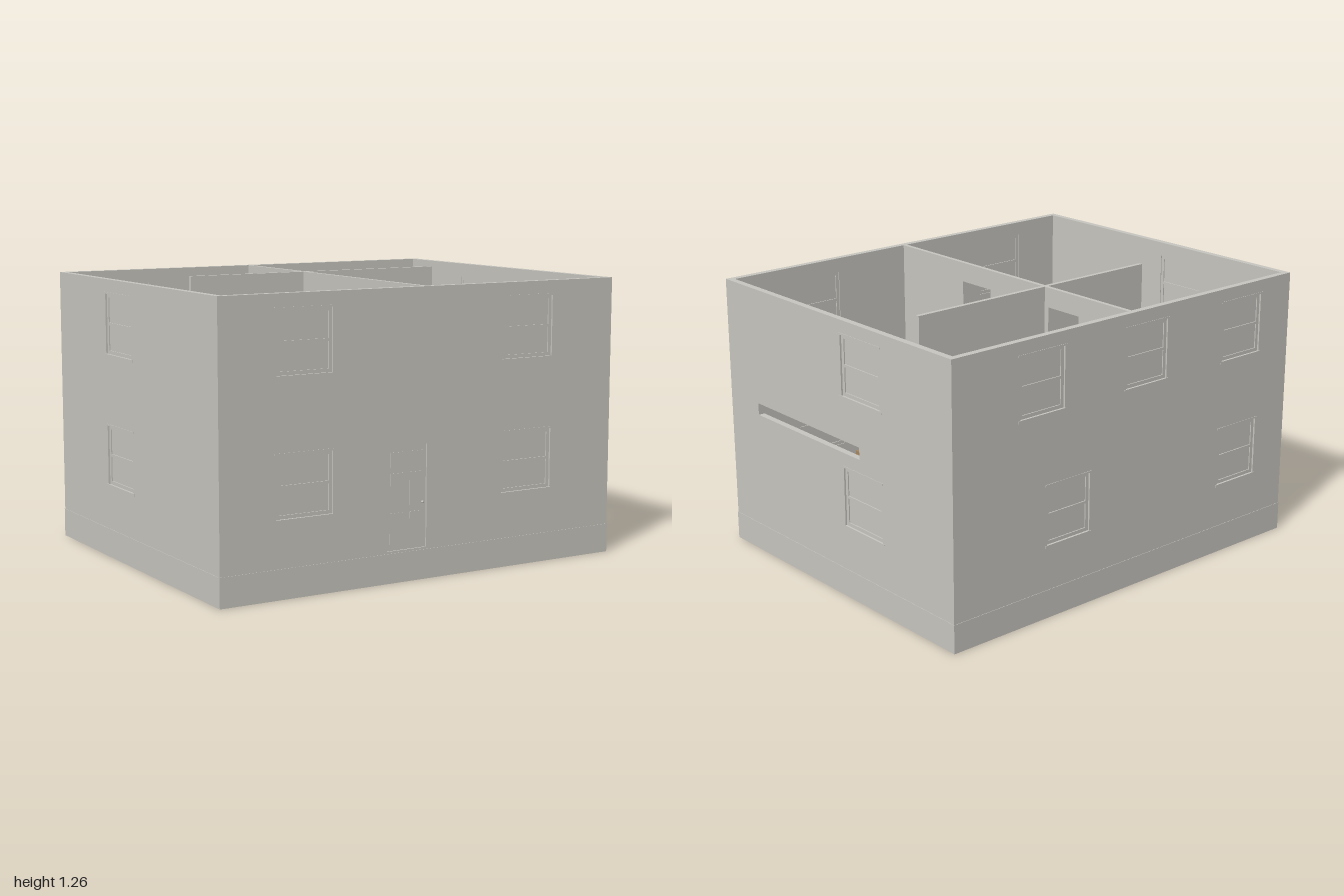
import * as THREE from 'three';

const plaster = new THREE.MeshStandardMaterial({ color: 0xc8c6bf });
plaster.name = 'pale grey plaster';
const wood = new THREE.MeshStandardMaterial({ color: 0xa88760 });
wood.name = 'warm brown wood';

const THICK = 0.03;
const BASE = 0.13, CEIL = 0.67, FLOOR = 0.725, TOP = 1.26;

// Box given by its limits on each axis
function box(parent, name, mat, [x0, x1], [y0, y1], [z0, z1]) {
  const mesh = new THREE.Mesh(new THREE.BoxGeometry(x1 - x0, y1 - y0, z1 - z0), mat);
  mesh.position.set((x0 + x1) / 2, (y0 + y1) / 2, (z0 + z1) / 2);
  mesh.name = name;
  parent.add(mesh);
  return mesh;
}

// Upright wall with rectangular openings; its outer face lies on local z = 0
function wall(parent, name, [u0, u1], [y0, y1], openings, thick) {
  const rect = (P, a, b, c, d) => new P([
    new THREE.Vector2(a, c), new THREE.Vector2(b, c), new THREE.Vector2(b, d), new THREE.Vector2(a, d)]);
  const shape = rect(THREE.Shape, u0, u1, y0, y1);
  for (const o of openings) shape.holes.push(rect(THREE.Path, o.u0, o.u1, o.y0, o.y1));
  const geo = new THREE.ExtrudeGeometry(shape, { depth: thick, bevelEnabled: false });
  geo.translate(0, 0, -thick);
  const mesh = new THREE.Mesh(geo, plaster);
  mesh.name = name;
  parent.add(mesh);
}

// Sash window: outer trim, recessed frame, two panes and a meeting rail
function sashWindow(parent, o) {
  const g = new THREE.Group();
  g.name = 'window';
  const f = 0.016, mid = (o.y0 + o.y1) / 2;
  box(g, 'windowPane', plaster, [o.u0, o.u1], [o.y0, o.y1], [-0.021, -0.013]);
  for (const [a, b] of [[o.u0, o.u0 + f], [o.u1 - f, o.u1]])
    box(g, 'windowStile', plaster, [a, b], [o.y0, o.y1], [-0.026, -0.008]);
  for (const [a, b] of [[o.y0, o.y0 + f], [mid - 0.006, mid + 0.006], [o.y1 - f, o.y1]])
    box(g, 'windowRail', plaster, [o.u0 + f, o.u1 - f], [a, b], [-0.026, -0.008]);
  box(g, 'windowSill', plaster, [o.u0 - 0.01, o.u1 + 0.01], [o.y0 - 0.012, o.y0], [-0.012, 0.002]);
  box(g, 'windowHead', plaster, [o.u0 - 0.01, o.u1 + 0.01], [o.y1, o.y1 + 0.008], [-0.012, 0.002]);
  parent.add(g);
}

// Panelled door leaf along +x from its hinge, standing on y = 0
function doorLeaf(name, width, height) {
  const g = new THREE.Group();
  g.name = name;
  box(g, 'doorSlab', plaster, [0, width], [0, height], [-0.005, 0.005]);
  const w = width / 2;
  for (const side of [1, -1]) {
    for (let c = 0; c < 2; c++)
      for (const [a, b] of [[0.06, 0.36], [0.42, 0.74], [0.8, 0.94]])
        box(g, 'doorPanel', plaster, [w * (c + 0.18), w * (c + 0.82)], [a * height, b * height],
          side > 0 ? [0.005, 0.007] : [-0.007, -0.005]);
    const knob = new THREE.Mesh(new THREE.SphereGeometry(0.006, 12, 8), plaster);
    knob.position.set(width - 0.02, height * 0.44, side * 0.011);
    knob.name = 'doorKnob';
    g.add(knob);
  }
  return g;
}

export function createModel() {
  const house = new THREE.Group();
  house.name = 'house';

  // Foundation and ground floor
  box(house, 'foundation', plaster, [-1, 1], [0, BASE], [-0.8, 0.8]);
  box(house, 'groundFloor', wood, [-0.97, 0.97], [BASE, BASE + 0.006], [-0.77, 0.77]);

  // Outer walls: opening centres along each side, seen from outside
  const sides = [
    { name: 'front', half: 1, at: [0, 0.798], turn: 0, w: 0.266, low: [-0.6, 0.53], high: [-0.6, 0.53] },
    { name: 'back', half: 1, at: [0, -0.798], turn: Math.PI, w: 0.245, low: [-0.37, 0.68], high: [-0.52, 0.08, 0.68] },
    { name: 'right', half: 0.768, at: [0.998, 0], turn: Math.PI / 2, w: 0.266, low: [0.198], high: [0.198], slot: [-0.58, 0.18] },
    { name: 'left', half: 0.768, at: [-0.998, 0], turn: -Math.PI / 2, w: 0.266, low: [-0.147], high: [-0.147] },
  ];
  for (const s of sides) {
    const g = new THREE.Group();
    g.name = s.name + 'Side';
    g.position.set(s.at[0], 0, s.at[1]);
    g.rotation.y = s.turn;
    const half = s.half === 1 ? 0.998 : s.half;
    const holes = (list, y0, y1) => list.map(u => ({ u0: u - s.w / 2, u1: u + s.w / 2, y0, y1 }));
    const low = holes(s.low, 0.335, 0.602), high = holes(s.high, 0.926, 1.195);
    const doors = s.name === 'front' ? [{ u0: -0.2, u1: 0, y0: 0.14, y1: 0.59 }] : [];
    wall(g, 'lowerWall', [-half, half], [BASE, CEIL], [...low, ...doors], THICK);
    wall(g, 'upperWall', [-half, half], [FLOOR, TOP], high, THICK);
    // Floor band, left open beside the stairwell
    const bands = s.slot ? [[-half, s.slot[0]], [s.slot[1], half]] : [[-half, half]];
    for (const b of bands) box(g, 'floorBand', plaster, b, [CEIL, FLOOR], [-THICK, 0]);
    [...low, ...high].forEach(o => sashWindow(g, o));
    if (doors.length) {
      const door = doorLeaf('frontDoor', 0.2, 0.45);
      door.position.set(-0.2, 0.14, -0.012);
      g.add(door);
    }
    // Skirting along the inside of both storeys
    for (const y of [BASE, FLOOR]) {
      const parts = s.slot && y === FLOOR ? [[-0.768, -0.61], [0.18, 0.768]] : [[-half + THICK, half - THICK]];
      for (const p of parts) box(g, 'skirting', plaster, p, [y, y + 0.03], [-THICK - 0.004, -THICK]);
    }
    house.add(g);
  }

  // Upper floor around the stairwell: grey ceiling below, boards above
  for (const [xs, zs] of [
    [[-0.97, 0.728], [-0.77, 0.77]],
    [[0.728, 0.97], [0.61, 0.77]],
    [[0.728, 0.97], [-0.77, -0.18]],
  ]) {
    box(house, 'ceiling', plaster, xs, [CEIL, FLOOR - 0.008], zs);
    box(house, 'upperFloor', wood, xs, [FLOOR - 0.008, FLOOR], zs);
  }

  // Staircase climbing towards the back
  const stairs = new THREE.Group();
  stairs.name = 'staircase';
  const steps = 15, run = 0.0555, rise = (FLOOR - BASE - 0.006) / steps;
  for (let i = 0; i < steps; i++) {
    const y = BASE + 0.006 + rise * (i + 1), z = 0.61 - run * i;
    const back = i === steps - 1 ? -0.18 : z - run;
    box(stairs, 'step', wood, [0.73, 0.966], [Math.max(BASE, y - rise * 1.6), y], [back, z]);
  }
  house.add(stairs);

  // Inner walls on both storeys with two doorways and open doors
  for (const [y0, y1, name] of [[BASE, CEIL, 'lower'], [FLOOR, TOP, 'upper']]) {
    const storey = new THREE.Group();
    storey.name = name + 'Rooms';
    const long = new THREE.Group();
    long.name = 'partition';
    long.rotation.y = Math.PI / 2;
    long.position.x = 0.01;
    const ways = [[-0.32, -0.125], [0.27, 0.465]].map(([u0, u1]) => ({ u0, u1, y0: y0 + 0.002, y1: y0 + 0.445 }));
    wall(long, 'partitionWall', [-0.768, 0.768], [y0, y1], ways, 0.02);
    storey.add(long);
    box(storey, 'crossWall', plaster, [-0.6, -0.01], [y0, y1], [-0.246, -0.226]);
    box(storey, 'crossWall', plaster, [0.01, 0.72], [y0, y1], [-0.246, -0.226]);
    const leaves = [[0, -0.46, -0.17, 0.06, 0.185], [0, 0.13, -0.17, 0.06, 0.185]];
    if (name === 'upper') leaves.push([-0.012, -0.19, -0.2, 0.5, 0.54]);
    for (const [x, z, dx, dz, w] of leaves) {
      const leaf = doorLeaf('innerDoor', w, 0.44);
      leaf.position.set(x, y0 + 0.007, z);
      leaf.rotation.y = Math.atan2(-dz, dx);
      storey.add(leaf);
    }
    house.add(storey);
  }
  return house;
}
